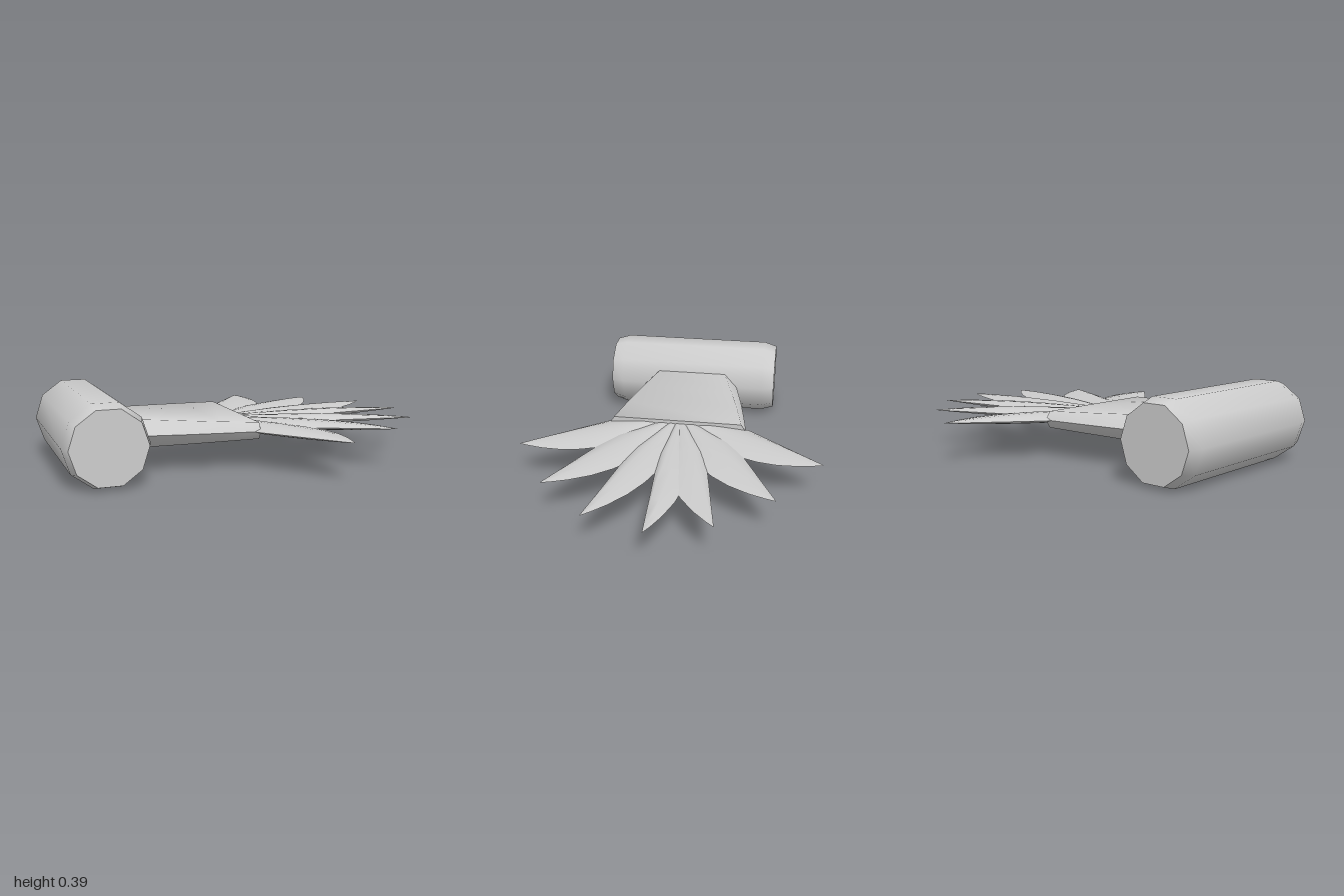
import * as THREE from 'three';
import { toCreasedNormals } from 'three/addons/utils/BufferGeometryUtils.js';

const CREASE = 1.05;
const MID_Y = 0.2;

// Skin a list of equal-length rings of [x, y, z] points, closing both ends.
function loft(rings) {
  const n = rings[0].length;
  const pos = rings.flat(2);
  const index = [];
  for (let r = 0; r < rings.length - 1; r++) {
    for (let i = 0; i < n; i++) {
      const a = r * n + i, b = r * n + (i + 1) % n;
      index.push(a, b, b + n, a, b + n, a + n);
    }
  }
  const last = (rings.length - 1) * n;
  for (let i = 1; i < n - 1; i++) {
    index.push(0, i + 1, i, last, last + i, last + i + 1);
  }
  // Turn the skin inside out if its signed volume is negative.
  const p = (i) => new THREE.Vector3().fromArray(pos, i * 3);
  let volume = 0;
  for (let i = 0; i < index.length; i += 3) {
    volume += p(index[i]).dot(p(index[i + 1]).cross(p(index[i + 2])));
  }
  if (volume < 0) index.reverse();
  const geo = new THREE.BufferGeometry();
  geo.setAttribute('position', new THREE.Float32BufferAttribute(pos, 3));
  geo.setIndex(index);
  return toCreasedNormals(geo, CREASE);
}

// Ten-sided drum lying along z with chamfered ends.
function barrelGeometry() {
  const profile = [[-0.49, 0.186], [-0.42, 0.207], [0.42, 0.207], [0.49, 0.186]];
  return loft(profile.map(([z, r]) => Array.from({ length: 10 }, (_, i) => {
    const a = (i / 10) * Math.PI * 2;
    return [-0.793 + r * Math.cos(a), MID_Y + r * Math.sin(a), z];
  })));
}

// Flared six-sided neck: [x, half width at the side edge, half width of the flat, half height]
function neckGeometry() {
  const stations = [
    [-0.68, 0.255, 0.18, 0.074],
    [-0.6, 0.27, 0.2, 0.071],
    [-0.38, 0.315, 0.26, 0.06],
    [-0.2, 0.345, 0.305, 0.051],
    [-0.01, 0.373, 0.345, 0.042],
  ];
  return loft(stations.map(([x, w, f, h]) => [
    [x, MID_Y, w], [x, MID_Y + h, f], [x, MID_Y + h, -f],
    [x, MID_Y, -w], [x, MID_Y - h, -f], [x, MID_Y - h, f],
  ]));
}

// Lens-section blade: [position along axis, outer width, inner width, thickness], as fractions
const BLADE = [
  [0, 0.3, 0.3, 1], [0.18, 0.7, 0.62, 1], [0.34, 1, 0.88, 0.98],
  [0.5, 0.76, 1, 0.88], [0.62, 0.58, 0.96, 0.75], [0.75, 0.38, 0.79, 0.55],
  [0.87, 0.2, 0.49, 0.32], [0.95, 0.08, 0.21, 0.14], [1, 0, 0, 0],
];
const ACROSS = [-1, -0.66, -0.33, 0, 0.33, 0.66, 1];

function featherGeometry({ root, tip, outer, inner }, side) {
  const axis = new THREE.Vector2(tip[0] + 0.05, tip[1] - root);
  const dir = axis.clone().normalize();
  const rings = BLADE.map(([t, a, b, h]) => {
    const point = (u, s) => {
      const off = u < 0 ? u * inner * b : u * outer * a;
      const x = -0.05 + axis.x * t - dir.y * off;
      const z = root + axis.y * t + dir.x * off;
      return [x, MID_Y + s * 0.026 * h * (1 - u * u), z * side];
    };
    const top = ACROSS.map((u) => point(u, 1));
    const bottom = ACROSS.slice(1, -1).reverse().map((u) => point(u, -1));
    return [...top, ...bottom];
  });
  return loft(rings);
}

export function createModel() {
  const model = new THREE.Group();
  model.name = 'featheredMallet';
  const grey = new THREE.MeshStandardMaterial({ color: 0xcccccc });
  grey.name = 'light grey';

  const add = (name, geometry, parent = model) => {
    const mesh = new THREE.Mesh(geometry, grey);
    mesh.name = name;
    parent.add(mesh);
  };

  add('barrel', barrelGeometry());
  add('neck', neckGeometry());

  // Fan of feathers, mirrored about the centre one
  const fan = new THREE.Group();
  fan.name = 'featherFan';
  model.add(fan);
  const feathers = [
    { name: 'outerFeather', root: 0.1, tip: [0.29, 0.78], outer: 0.116, inner: 0.168 },
    { name: 'middleFeather', root: 0.05, tip: [0.66, 0.56], outer: 0.112, inner: 0.158 },
    { name: 'innerFeather', root: 0.02, tip: [0.91, 0.3], outer: 0.073, inner: 0.14 },
  ];
  for (const feather of feathers) {
    add(feather.name + 'Left', featherGeometry(feather, 1), fan);
    add(feather.name + 'Right', featherGeometry(feather, -1), fan);
  }
  add('centreFeather', featherGeometry({ root: 0, tip: [1, 0], outer: 0.045, inner: 0.13 }, 1), fan);

  return model;
}
